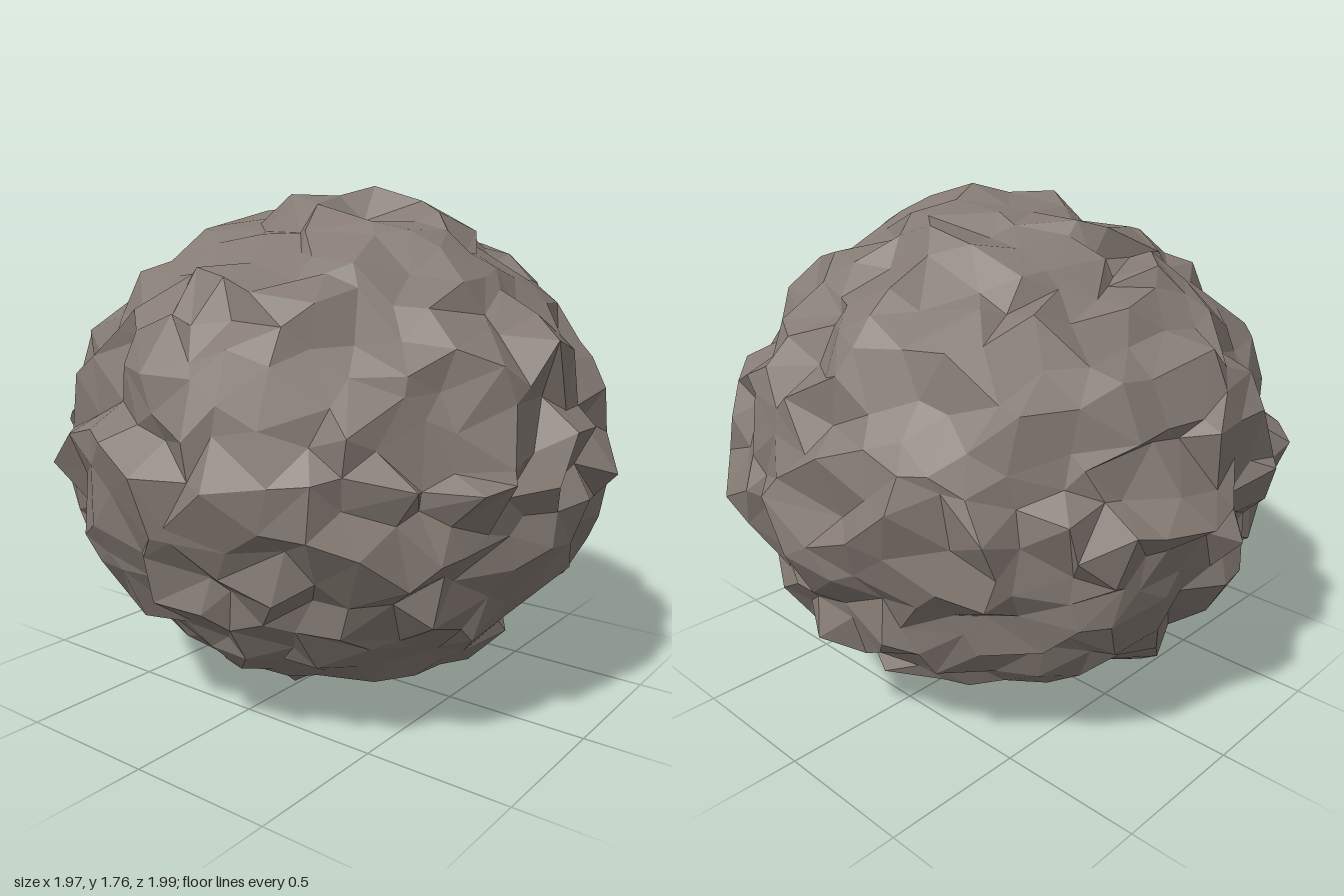
import * as THREE from 'three';
import { mergeVertices } from 'three/addons/utils/BufferGeometryUtils.js';

const MIDDLE = 0.875; // height of the stone's centre

// Crests of the stone along three rings: side to side, front to back, and round the waist
const crossRing = [ // x, y
  [-0.99, 0.77], [-0.93, 1.13], [-0.83, 1.35], [-0.6, 1.5], [-0.35, 1.69], [-0.12, 1.69],
  [0.17, 1.76], [0.32, 1.71], [0.44, 1.67], [0.57, 1.54], [0.8, 1.36], [0.91, 1.29],
  [0.98, 1.02], [0.96, 0.78], [0.92, 0.64], [0.84, 0.48], [0.72, 0.31], [0.58, 0.17],
  [0.3, 0.1], [0.12, 0.01], [-0.08, 0], [-0.35, 0.1], [-0.6, 0.16], [-0.72, 0.26], [-0.9, 0.56],
];
const lengthRing = [ // z, y
  [0.91, 1.2], [0.82, 1.37], [0.66, 1.5], [0.43, 1.6], [0.24, 1.73], [-0.13, 1.7],
  [-0.39, 1.68], [-0.62, 1.53], [-0.75, 1.41], [-0.9, 1.22], [-0.98, 0.75], [-0.88, 0.58],
  [-0.86, 0.4], [-0.7, 0.3], [-0.6, 0.15], [-0.45, 0.08], [-0.23, 0.05], [0.28, 0.03],
  [0.38, 0.1], [0.57, 0.2], [0.9, 0.5], [0.93, 0.65],
];
const waistRing = [ // x, z
  [0.07, -0.99], [0.22, -0.95], [0.42, -0.91], [0.62, -0.76], [0.78, -0.59], [0.9, -0.38],
  [0.97, -0.25], [0.95, 0.15], [0.91, 0.35], [0.88, 0.48], [0.75, 0.62], [0.52, 0.81],
  [0.38, 0.87], [0.24, 0.95], [0, 1], [-0.17, 0.96], [-0.52, 0.86], [-0.85, 0.53],
  [-0.93, 0.3], [-0.99, -0.14], [-0.9, -0.4], [-0.79, -0.57], [-0.63, -0.75], [-0.4, -0.9],
];
// Each crest remembers the axis its ring faces along
const crests = [
  ...crossRing.map(([x, y]) => ({ at: new THREE.Vector3(x, y, 0), axis: 'z' })),
  ...lengthRing.map(([z, y]) => ({ at: new THREE.Vector3(0, y, z), axis: 'x' })),
  ...waistRing.map(([x, z]) => ({ at: new THREE.Vector3(x, MIDDLE, z), axis: 'y' })),
];

// Small seeded generator, returns -1..1
function seeded(seed) {
  let s = seed;
  return () => {
    s = (s * 1664525 + 1013904223) % 4294967296;
    return (s / 4294967296) * 2 - 1;
  };
}

// Faceted boulder: a squashed sphere whose shared corners are knocked about
function boulderGeometry() {
  const ball = new THREE.IcosahedronGeometry(1, 7);
  ball.deleteAttribute('normal');
  ball.deleteAttribute('uv');
  const shared = mergeVertices(ball, 1e-4);
  const pos = shared.attributes.position;
  const rand = seeded(7);
  const radii = new THREE.Vector3(0.93, 0.825, 0.93);
  const shift = new THREE.Vector3();

  const smooth = [];
  const corners = [];
  for (let i = 0; i < pos.count; i++) {
    const v = new THREE.Vector3().fromBufferAttribute(pos, i);
    smooth.push(v.clone().multiply(radii));
    shift.set(rand(), rand(), rand()).multiplyScalar(0.06);
    v.add(shift).clampLength(0.955, 1.045).multiply(radii);
    v.y += MIDDLE;
    corners.push(v);
  }

  // Pull the nearest free corner out to each crest, leaving it scattered across the ring
  const taken = new Set();
  const seat = new THREE.Vector3();
  for (const { at, axis } of crests) {
    seat.copy(at);
    seat.y -= MIDDLE;
    seat.divide(radii).normalize().multiply(radii);
    let best = -1;
    smooth.forEach((p, i) => {
      if (taken.has(i)) return;
      if (best < 0 || p.distanceTo(seat) < smooth[best].distanceTo(seat)) best = i;
    });
    taken.add(best);
    const across = corners[best][axis];
    corners[best].copy(at)[axis] = across;
  }
  corners.forEach((p, i) => pos.setXYZ(i, p.x, p.y, p.z));

  // Separate the faces so each has its own flat normal
  const faceted = shared.toNonIndexed();
  faceted.computeVertexNormals();
  return faceted;
}

export function createModel() {
  const group = new THREE.Group();
  group.name = 'rock';
  const stone = new THREE.MeshStandardMaterial({ color: 0x857b74 });
  stone.name = 'stone';
  const boulder = new THREE.Mesh(boulderGeometry(), stone);
  boulder.name = 'boulder';
  group.add(boulder);
  return group;
}
